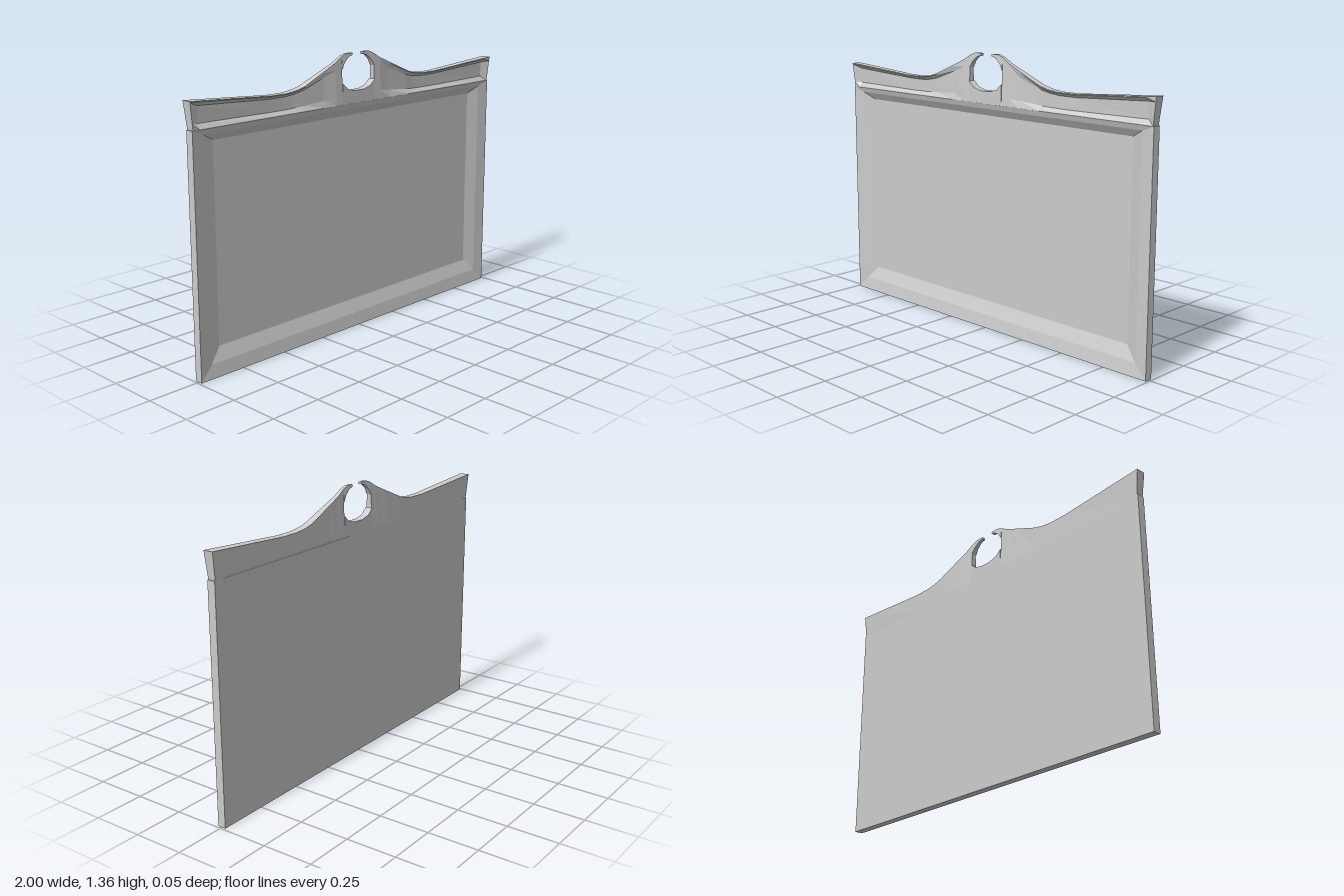
import * as THREE from 'three';

const material = new THREE.MeshStandardMaterial({ color: 0xcccccc, flatShading: true });

// Skin closed rings of points, counter-clockwise seen from the end of the sweep
function loft(name, rings) {
  const out = [];
  const tri = (a, b, c) => out.push(...a, ...b, ...c);
  const n = rings[0].length;
  for (let k = 0; k + 1 < rings.length; k++) {
    for (let i = 0; i < n; i++) {
      const j = (i + 1) % n, a = rings[k], b = rings[k + 1];
      tri(a[i], a[j], b[j]);
      tri(a[i], b[j], b[i]);
    }
  }
  const first = rings[0], last = rings[rings.length - 1];
  for (let i = 1; i + 1 < n; i++) {
    tri(first[0], first[i + 1], first[i]);
    tri(last[0], last[i], last[i + 1]);
  }
  const geometry = new THREE.BufferGeometry();
  geometry.setAttribute('position', new THREE.Float32BufferAttribute(out, 3));
  geometry.computeVertexNormals();
  const mesh = new THREE.Mesh(geometry, material);
  mesh.name = name;
  return mesh;
}

// Half thickness of the crest: flared at the ends, thin at the horn tips
function halfDepth(x, y) {
  if (y > 1.25) return 0.018 - (y - 1.25) * 0.095;
  return 0.019 + 0.005 * Math.max(0, (Math.abs(x) - 0.5) / 0.5) * Math.max(0, (y - 1.12) / 0.125);
}

// Upright section through the crest, its front hollowed by depth d
function section([x, bottom, top, d = 0]) {
  const hb = halfDepth(x, bottom), ht = halfDepth(x, top);
  const slant = Math.abs(x) > 0.99 ? 0.985 : 1; // ends lean in toward the panel
  const at = (f, z) => [x * THREE.MathUtils.lerp(slant, 1, f), THREE.MathUtils.lerp(bottom, top, f), z];
  const front = (f, dip) => at(f, THREE.MathUtils.lerp(hb, ht, f) - dip);
  return [at(0, -hb), at(1, -ht), front(1, 0), front(0.96, 0), front(0.82, d), front(0.2, d), front(0, 0)];
}

export function createModel() {
  const group = new THREE.Group();

  // Panel with a two-step sloped recess in the front
  const rect = (side, low, high, z) => [
    [-0.99 + side, low, z], [0.99 - side, low, z], [0.99 - side, 1.12 - high, z], [-0.99 + side, 1.12 - high, z],
  ];
  group.add(loft('panel', [
    rect(0, 0, 0, -0.02),
    rect(0, 0, 0, 0.02),
    rect(0.065, 0.065, 0.025, 0.011),
    rect(0.13, 0.13, 0.06, -0.012),
  ]));

  // Crest stations: x, bottom, top, hollow depth
  const wing = [
    [0.108, 1.12, 1.345], [0.15, 1.12, 1.32], [0.22, 1.12, 1.29, 0.008], [0.35, 1.12, 1.235, 0.014],
    [0.4, 1.12, 1.222, 0.017], [0.46, 1.12, 1.215, 0.018], [0.55, 1.12, 1.215, 0.018],
    [0.95, 1.12, 1.242, 0.018], [1, 1.12, 1.245],
  ];
  const horn = [
    [0.035, 1.346, 1.357], [0.06, 1.34, 1.357], [0.075, 1.328, 1.357], [0.09, 1.315, 1.352], [0.108, 1.285, 1.345],
  ];
  const bridge = [
    [-0.108, 1.12, 1.22], [-0.075, 1.12, 1.192], [-0.03, 1.12, 1.18],
    [0.03, 1.12, 1.18], [0.075, 1.12, 1.192], [0.108, 1.12, 1.22],
  ];
  const mirror = (list) => list.map(([x, ...rest]) => [-x, ...rest]).reverse();

  group.add(loft('leftCrestWing', wing.map(section)));
  group.add(loft('rightCrestWing', mirror(wing).map(section)));
  group.add(loft('leftHorn', horn.map(section)));
  group.add(loft('rightHorn', mirror(horn).map(section)));
  group.add(loft('crestBridge', bridge.map(section)));

  return group;
}
